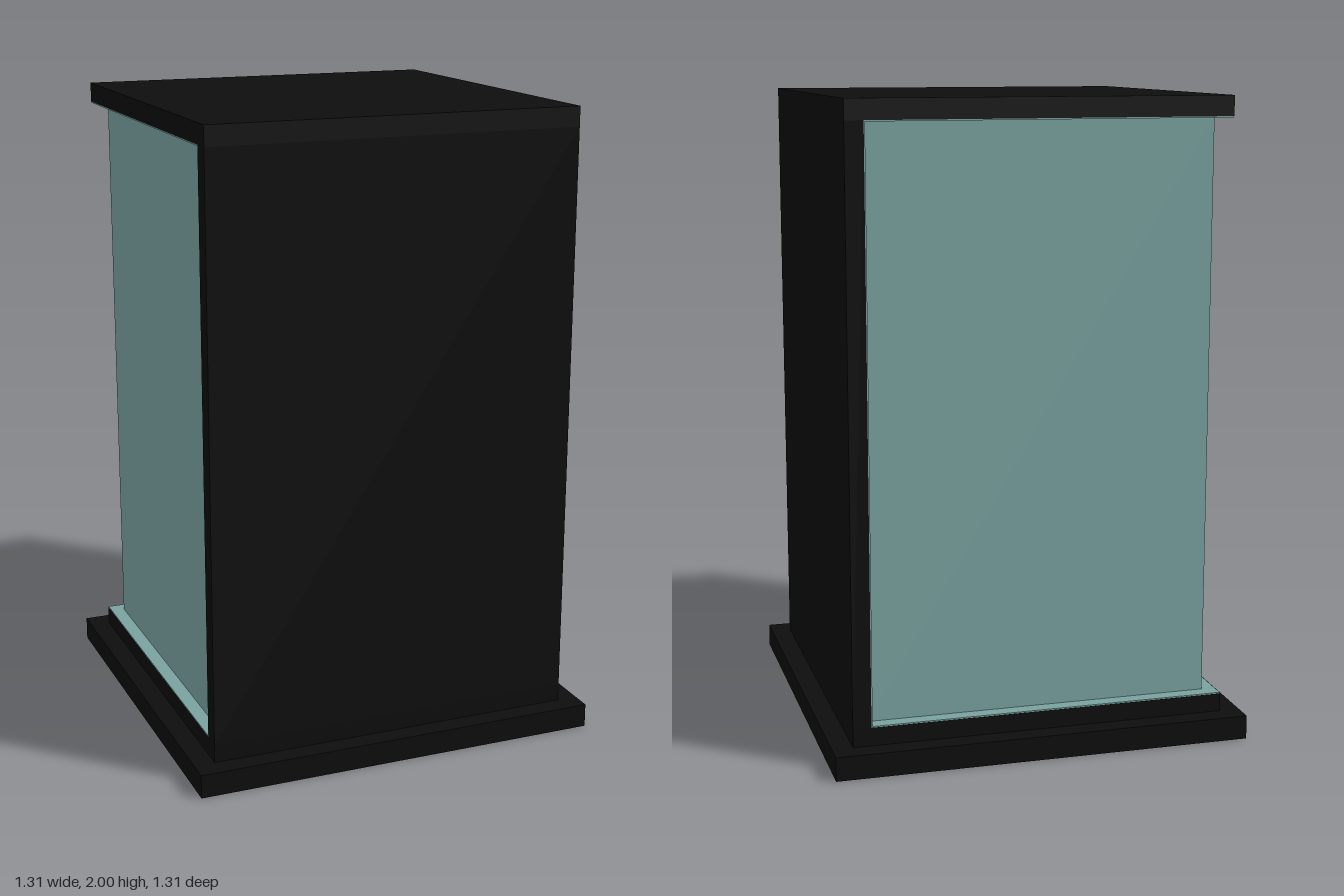
import * as THREE from 'three';

const black = new THREE.MeshStandardMaterial({ color: 0x0d0d0d });
black.name = 'black casing';
const teal = new THREE.MeshStandardMaterial({ color: 0x78a29f });
teal.name = 'pale teal';

const H = 0.59;      // half width of the cabinet
const T = 0.057;     // casing thickness
const FOOT = 0.075;  // plinth height
const TOP = 2;
const INSET = 0.045; // depth of the teal block behind the casing rim
const LINER = 0.004;

export function createModel() {
  const model = new THREE.Group();
  model.name = 'displayCabinet';

  // Box given by its lower and upper corners
  const box = (name, material, [x0, y0, z0], [x1, y1, z1]) => {
    const geometry = new THREE.BoxGeometry(x1 - x0, y1 - y0, z1 - z0);
    const mesh = new THREE.Mesh(geometry, material);
    mesh.position.set((x0 + x1) / 2, (y0 + y1) / 2, (z0 + z1) / 2);
    mesh.name = name;
    model.add(mesh);
  };

  const floor = FOOT + T, ceiling = TOP - T - 0.005, inner = H - T;

  // Plinth and casing: floor, roof and two solid walls
  box('plinth', black, [-0.655, 0, -0.655], [0.655, FOOT, 0.655]);
  box('floorSlab', black, [-H, FOOT, -H], [H, floor, H]);
  box('roofSlab', black, [-H, ceiling, -H], [H, TOP, H]);
  box('frontWall', black, [-H, floor, inner], [H, ceiling, H]);
  box('sideWall', black, [inner, floor, -H], [H, ceiling, inner]);

  // Teal lining on the inner faces of the casing
  const lo = -H + 0.001;
  box('floorLiner', teal, [lo, floor, lo], [inner, floor + LINER, inner]);
  box('ceilingLiner', teal, [lo, ceiling - LINER, lo], [inner, ceiling, inner]);
  box('frontLiner', teal, [lo, floor + LINER, inner - LINER], [inner, ceiling - LINER, inner]);
  box('sideLiner', teal, [inner - LINER, floor + LINER, lo], [inner, ceiling - LINER, inner - LINER]);

  // Recessed glazed block filling the open back and side
  const g = -H + INSET;
  box('glassBlock', teal, [g, floor + LINER, g], [inner - LINER, ceiling - LINER, inner - LINER]);

  return model;
}
